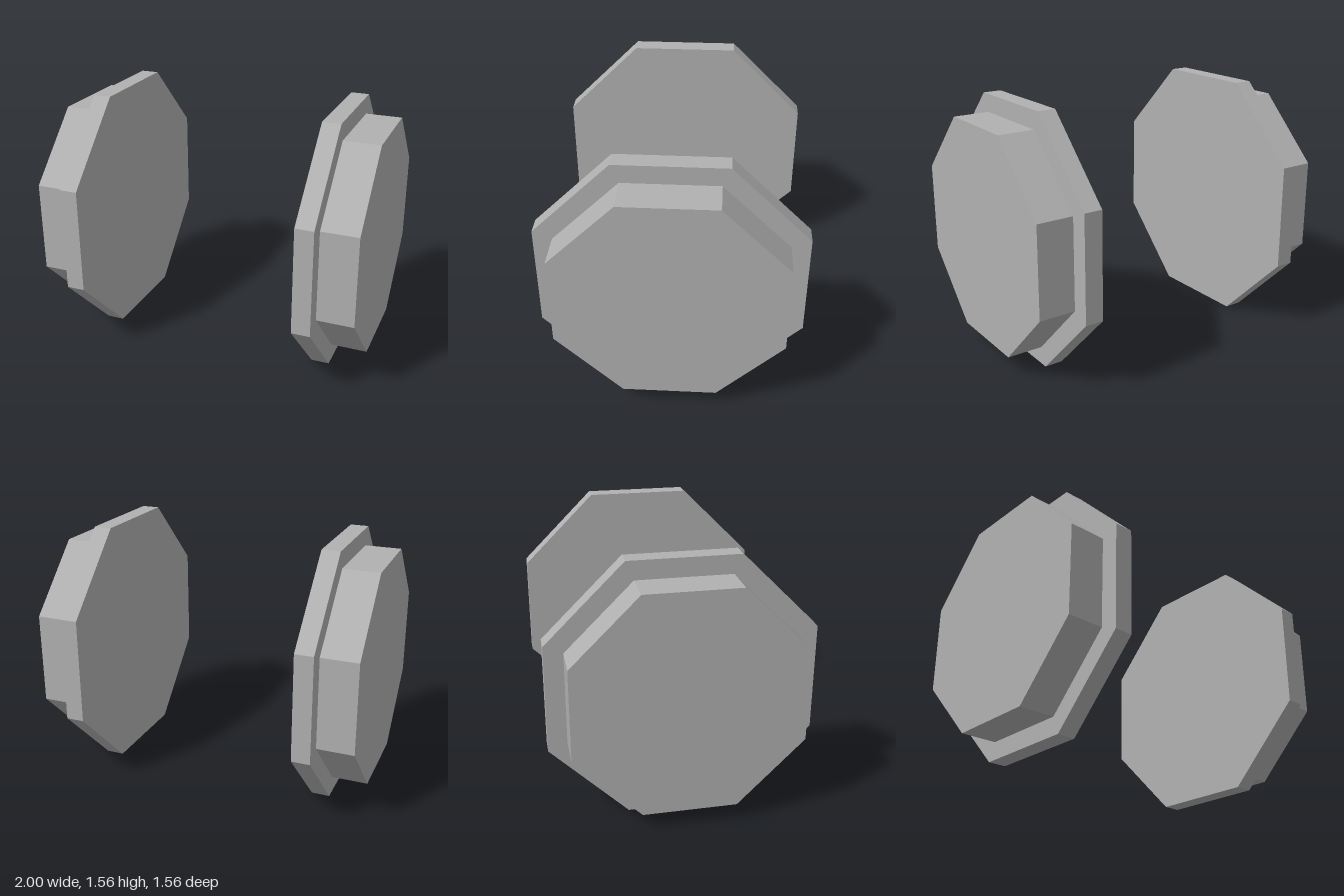
import * as THREE from 'three';

const CENTRE_Y = 0.778;

// Octagonal disc along x, flat side down, sized by its distance from centre to flat
function disc(name, apothem, x0, x1, material) {
  const radius = apothem / Math.cos(Math.PI / 8);
  const geometry = new THREE.CylinderGeometry(radius, radius, x1 - x0, 8, 1, false, Math.PI / 8);
  geometry.rotateZ(-Math.PI / 2);
  const mesh = new THREE.Mesh(geometry, material);
  mesh.name = name;
  mesh.position.x = (x0 + x1) / 2;
  return mesh;
}

// Wheel with its narrow raised flange on the inner side
function wheel(name, material) {
  const group = new THREE.Group();
  group.name = name;
  group.add(disc('flange', 0.778, 0.667, 0.778, material));
  group.add(disc('tread', 0.667, 0.778, 1, material));
  group.position.y = CENTRE_Y;
  return group;
}

export function createModel() {
  const metal = new THREE.MeshStandardMaterial({ color: 0xb0b0b0 });
  metal.name = 'grey metal';
  metal.flatShading = true;

  const model = new THREE.Group();
  model.name = 'wheelPair';
  const left = wheel('leftWheel', metal);
  const right = wheel('rightWheel', metal);
  right.rotation.y = Math.PI; // mirrored across x
  model.add(left, right);
  return model;
}
